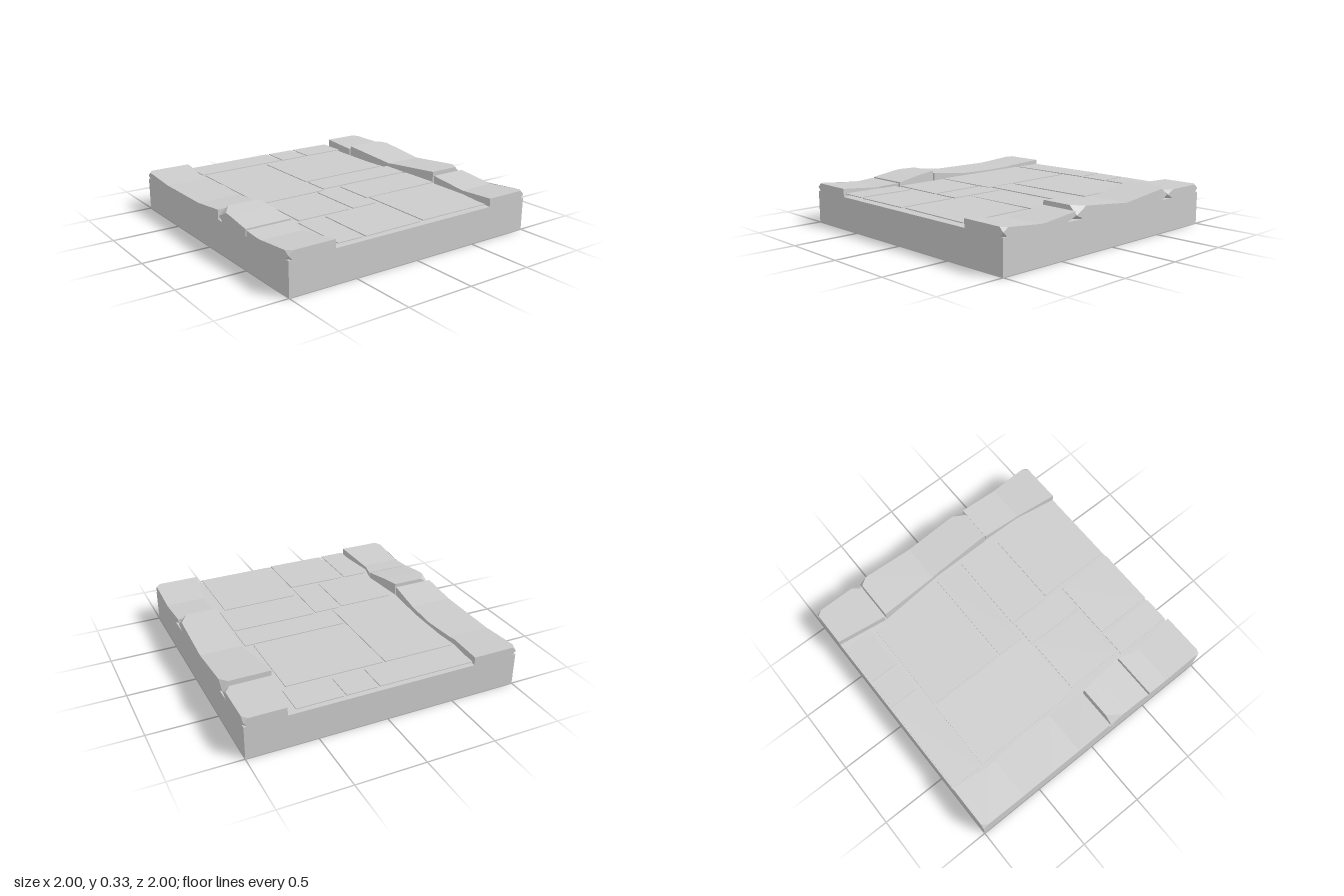
import * as THREE from 'three';

const material = new THREE.MeshStandardMaterial({ color: 0xcccccc, flatShading: true, side: THREE.DoubleSide });
const BED = 0.24, STONE_BOTTOM = 0.235, CHIP_POINT = 0.27;

// Linear lookup in a list of [z, value] pairs
function sample(pairs, z) {
  for (let i = 1; i < pairs.length; i++) {
    const [z0, v0] = pairs[i - 1], [z1, v1] = pairs[i];
    if (z <= z1) return v0 + (v1 - v0) * (z - z0) / (z1 - z0);
  }
  return pairs[pairs.length - 1][1];
}

// Kerb stone: cross-sections lofted along z, outer corners chipped above and undercut below.
// A chip is [top dx, top dz, bottom dx, bottom dz].
function kerbStone({ name, side, inner, top, startChip, endChip }) {
  const zStart = inner[0][0], zEnd = inner[inner.length - 1][0];
  const section = (zTop, zBottom, zMid, dxTop, dxBottom) => [
    [1 - dxBottom, STONE_BOTTOM, zBottom],
    [1, CHIP_POINT, zMid],
    [1 - dxTop, sample(top, zTop), zTop],
    [sample(inner, zTop), sample(top, zTop), zTop],
    [sample(inner, zTop), STONE_BOTTOM, zTop]
  ];
  const [sx, sz, bx, bz] = startChip, [ex, ez, fx, fz] = endChip;
  const first = zStart + Math.max(sz, bz), last = zEnd - Math.max(ez, fz);
  const middle = [...new Set([...inner, ...top].map(p => p[0]))]
    .filter(z => z > first && z < last).sort((a, b) => a - b);
  const sections = [
    section(zStart, zStart, zStart, sx, bx),
    section(zStart + sz, zStart + bz, zStart, 0, 0),
    ...middle.map(z => section(z, z, z, 0, 0)),
    section(zEnd - ez, zEnd - fz, zEnd, 0, 0),
    section(zEnd, zEnd, zEnd, ex, fx)
  ];

  const positions = [];
  const triangle = (a, b, c) => {
    for (const p of side > 0 ? [a, b, c] : [a, c, b]) positions.push(p[0] * side, p[1], p[2]);
  };
  for (let i = 0; i < sections.length - 1; i++) {
    const s = sections[i], t = sections[i + 1];
    for (let j = 0; j < 5; j++) {
      const k = (j + 1) % 5;
      triangle(s[j], s[k], t[k]);
      triangle(s[j], t[k], t[j]);
    }
  }
  // End faces
  const a = sections[0], b = sections[sections.length - 1];
  for (let j = 0; j < 3; j++) {
    triangle(a[4], a[j + 1], a[j]);
    triangle(b[4], b[j], b[j + 1]);
  }
  const geometry = new THREE.BufferGeometry();
  geometry.setAttribute('position', new THREE.Float32BufferAttribute(positions, 3));
  geometry.computeVertexNormals();
  const mesh = new THREE.Mesh(geometry, material);
  mesh.name = name;
  return mesh;
}

export function createModel() {
  const group = new THREE.Group();
  group.name = 'pavedFloorTile';

  // Base block
  const base = new THREE.Mesh(new THREE.BoxGeometry(2, BED, 2), material);
  base.name = 'base';
  base.position.y = BED / 2;
  group.add(base);

  // Thin paving slabs just above the bed: x0, x1, z0, z1
  const slabs = [
    [-0.65, 0.06, -0.99, -0.77], [0.08, 0.3, -0.99, -0.77], [0.32, 0.65, -0.99, -0.77],
    [-0.645, -0.115, -0.74, 0.085], [-0.095, 0.615, -0.735, -0.165], [-0.095, 0.67, -0.14, 0.065],
    [-0.615, -0.205, 0.11, 0.525], [-0.175, 0.02, 0.1, 0.53], [0.04, 0.67, 0.09, 0.405],
    [0.055, 0.625, 0.42, 0.985], [-0.64, -0.45, 0.56, 0.995], [-0.425, 0.02, 0.56, 0.995]
  ];
  const paving = new THREE.Group();
  paving.name = 'paving';
  slabs.forEach(([x0, x1, z0, z1], i) => {
    const slab = new THREE.Mesh(new THREE.BoxGeometry(x1 - x0, 0.006, z1 - z0), material);
    slab.name = 'slab' + (i + 1);
    slab.position.set((x0 + x1) / 2, 0.265, (z0 + z1) / 2);
    // Slightly uneven laying
    slab.rotation.set(0.005 * Math.sin(i * 2.3), 0, 0.005 * Math.cos(i * 1.7));
    paving.add(slab);
  });
  group.add(paving);

  // Raised kerb stones; inner = distance of the inner edge from the middle, top = height, along z
  const none = [0, 0, 0, 0], corner = [0.03, 0.04, 0.03, 0.04];
  const stones = [
    { name: 'leftKerbBack', side: 1, startChip: corner, endChip: [0.045, 0.06, 0.045, 0.06],
      inner: [[-1, 0.71], [-0.625, 0.66]], top: [[-1, 0.3], [-0.625, 0.302]] },
    { name: 'leftKerbMiddle', side: 1, startChip: [0.045, 0.06, 0.045, 0.06], endChip: [0.06, 0.09, 0.06, 0.08],
      inner: [[-0.61, 0.66], [-0.1, 0.705], [0.36, 0.71]],
      top: [[-0.61, 0.33], [-0.15, 0.28], [0.1, 0.305], [0.36, 0.33]] },
    { name: 'leftKerbFront', side: 1, startChip: [0, 0, 0.05, 0.09], endChip: corner,
      inner: [[0.37, 0.715], [0.68, 0.71], [1, 0.66]], top: [[0.37, 0.3], [0.68, 0.266], [1, 0.3]] },
    { name: 'rightKerbBack', side: -1, startChip: corner, endChip: none,
      inner: [[-1, 0.66], [-0.71, 0.69], [-0.4, 0.66], [0.135, 0.695]],
      top: [[-1, 0.3], [-0.65, 0.275], [-0.15, 0.278], [0.135, 0.31]] },
    { name: 'rightKerbMiddle', side: -1, startChip: [0.07, 0.1, 0.03, 0.05], endChip: none,
      inner: [[0.15, 0.695], [0.5, 0.66]], top: [[0.15, 0.33], [0.3, 0.315], [0.5, 0.285]] },
    { name: 'rightKerbFront', side: -1, startChip: none, endChip: corner,
      inner: [[0.515, 0.66], [0.66, 0.7], [1, 0.66]], top: [[0.515, 0.28], [0.68, 0.266], [1, 0.3]] }
  ];
  for (const stone of stones) group.add(kerbStone(stone));
  return group;
}
